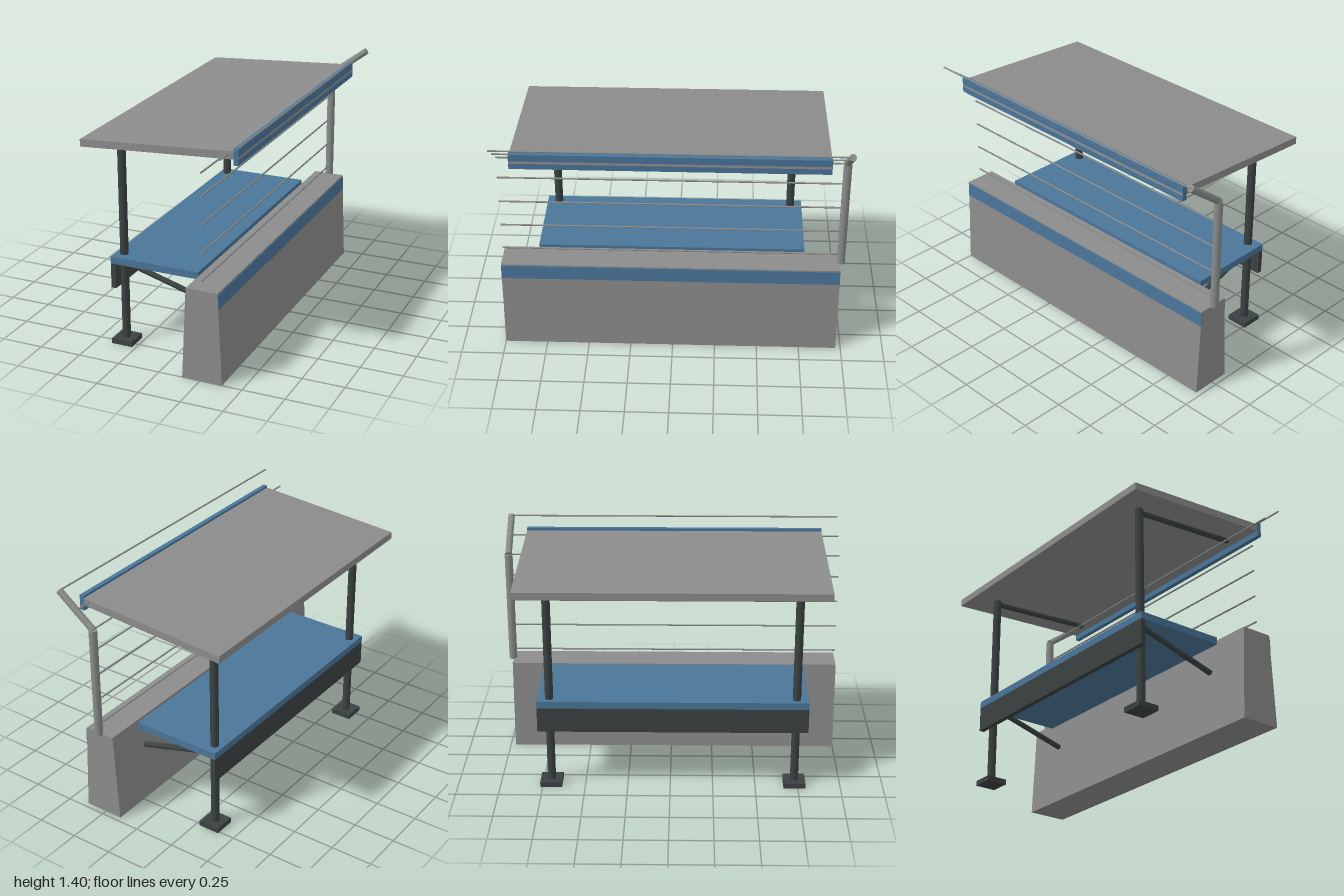
import * as THREE from 'three';

const mat = (name, color) => {
  const m = new THREE.MeshStandardMaterial({ color });
  m.name = name;
  return m;
};

export function createModel() {
  const concrete = mat('concrete grey', 0x8c8c8d);
  const blue = mat('blue paint', 0x4a7599);
  const dark = mat('dark steel', 0x3b4141);
  const steel = mat('galvanised steel', 0x8a8c8c);
  const group = new THREE.Group();
  group.name = 'shelter';

  const add = (name, geometry, material) => {
    const mesh = new THREE.Mesh(geometry, material);
    mesh.name = name;
    group.add(mesh);
    return mesh;
  };

  // Box given by its lowest and highest corner
  const box = (name, material, [x0, y0, z0], [x1, y1, z1]) =>
    add(name, new THREE.BoxGeometry(x1 - x0, y1 - y0, z1 - z0), material)
      .position.set((x0 + x1) / 2, (y0 + y1) / 2, (z0 + z1) / 2);

  // Round bar between two points
  const bar = (name, material, a, b, radius, sides = 20) => {
    const from = new THREE.Vector3(...a), to = new THREE.Vector3(...b);
    const dir = to.clone().sub(from);
    const mesh = add(name, new THREE.CylinderGeometry(radius, radius, dir.length(), sides), material);
    mesh.position.copy(from).add(to).multiplyScalar(0.5);
    mesh.quaternion.setFromUnitVectors(new THREE.Vector3(0, 1, 0), dir.normalize());
  };

  // Side profile in x and y, drawn out along z
  const prism = (name, material, points, z0, z1) => {
    const shape = new THREE.Shape(points.map(([x, y]) => new THREE.Vector2(x, y)));
    const geometry = new THREE.ExtrudeGeometry(shape, { depth: z1 - z0, bevelEnabled: false });
    add(name, geometry.translate(0, 0, z0), material);
  };

  // Tapered barrier wall with a painted band along its outer face
  prism('barrierWall', concrete, [[0.143, 0], [0.382, 0], [0.357, 0.543], [0.17, 0.543]], -0.97, 1);
  prism('wallStripe', blue, [[0.36, 0.45], [0.364, 0.45], [0.3605, 0.535], [0.3565, 0.535]], -0.97, 1);

  // Fence post with a cranked top arm
  const postZ = -0.976;
  bar('fencePost', steel, [0.263, 0.54, postZ], [0.263, 1.212, postZ], 0.024);
  bar('fenceArm', steel, [0.26, 1.213, postZ], [0.486, 1.384, postZ], 0.02);

  // Fence wires
  const wires = [[0.265, 0.6], [0.265, 0.76], [0.265, 0.92], [0.265, 1.08], [0.265, 1.212], [0.373, 1.298], [0.486, 1.384]];
  for (const [x, y] of wires) bar('fenceWire', steel, [x, y, postZ], [x, y, 1], 0.005, 8);

  // Sloping roof slab and the fascia on its high edge
  prism('roof', concrete, [[-0.5, 1.216], [0.434, 1.274], [0.431, 1.318], [-0.5, 1.259]], -0.875, 0.9);
  box('fascia', blue, [0.405, 1.24, -0.876], [0.433, 1.33, 0.901]);

  // Bench top and rear apron
  box('benchTop', blue, [-0.39, 0.505, -0.77], [0.15, 0.547, 0.8]);
  box('apron', dark, [-0.39, 0.357, -0.77], [-0.36, 0.505, 0.8]);

  // Two support frames: foot plate, post, bench brace and roof beam
  for (const z of [-0.7, 0.73]) {
    box('footPlate', dark, [-0.402, 0, z - 0.064], [-0.274, 0.03, z + 0.064]);
    bar('post', dark, [-0.339, 0.03, z], [-0.339, 1.225, z], 0.024);
    bar('benchBrace', dark, [-0.339, 0.5, z], [0.156, 0.357, z], 0.016);
    bar('roofBeam', dark, [-0.339, 1.206, z], [0.325, 1.252, z], 0.016);
  }
  return group;
}
